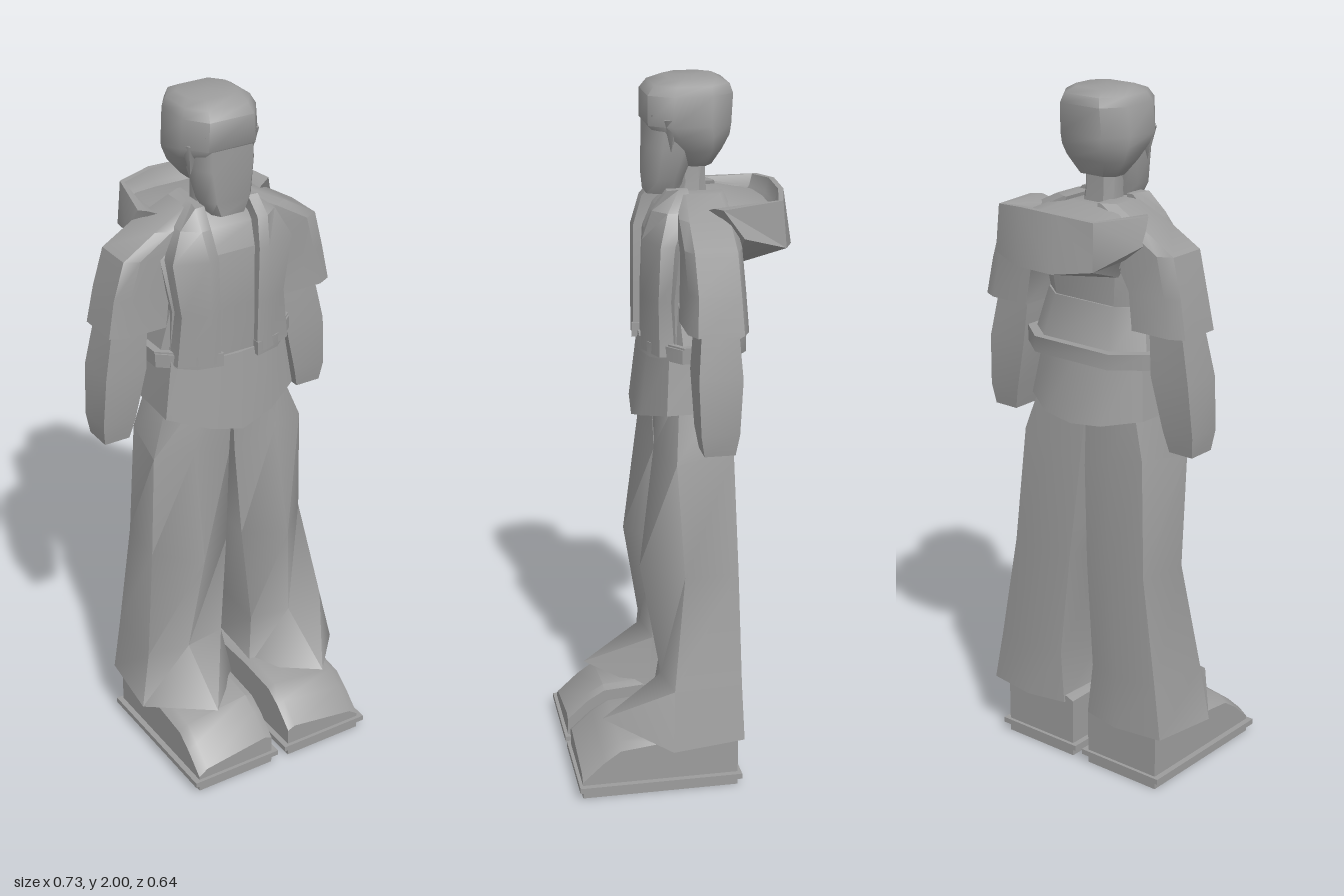
import * as THREE from 'three';
import { toCreasedNormals } from 'three/addons/utils/BufferGeometryUtils.js';

const grey = new THREE.MeshStandardMaterial({ color: 0x9c9c9c, side: THREE.DoubleSide });
grey.name = 'grey';

// Skin closed rings of [x, y, z] points, listed bottom to top, with end caps
function loft(rings, crease = 0.7) {
  const n = rings[0].length, pos = rings.flat(2), idx = [];
  for (let r = 0; r < rings.length - 1; r++)
    for (let i = 0; i < n; i++) {
      const a = r * n + i, b = r * n + (i + 1) % n;
      idx.push(a, b, b + n, a, b + n, a + n);
    }
  const cap = (ring, start, flip) => {
    const c = pos.length / 3;
    for (let k = 0; k < 3; k++) pos.push(ring.reduce((s, p) => s + p[k], 0) / n);
    for (let i = 0; i < n; i++) {
      const a = start + i, b = start + (i + 1) % n;
      idx.push(c, flip ? b : a, flip ? a : b);
    }
  };
  cap(rings[0], 0, true);
  cap(rings[rings.length - 1], (rings.length - 1) * n, false);
  const g = new THREE.BufferGeometry();
  g.setAttribute('position', new THREE.Float32BufferAttribute(pos, 3));
  g.setIndex(idx);
  return toCreasedNormals(g, crease);
}

// Eight-sided body section: height, half width, front z, back z, centre x, flat share
function oct(y, w, zf, zb, cx = 0, k = 0.6) {
  const d = (zf - zb) * 0.27;
  return [[-k * w, zf], [k * w, zf], [w, zf - d], [w, zb + d], [k * w, zb], [-k * w, zb], [-w, zb + d], [-w, zf - d]]
    .map(([x, z]) => [cx + x, y, z]);
}

// Four-sided section
const quad = (y, x0, x1, zf, zb) => [[x0, y, zf], [x1, y, zf], [x1, y, zb], [x0, y, zb]];

// Mirror rings to the left side, shifted by dx(y)
const mirror = (rings, dx) => rings.map(r => r.map(([x, y, z]) => [-x + dx(y), y, z]).reverse());

export function createModel() {
  const model = new THREE.Group();
  const add = (name, geometry) => {
    const m = new THREE.Mesh(geometry, grey);
    m.name = name;
    model.add(m);
    return m;
  };
  const pair = (name, rings, dx = () => 0, crease = 0.7) => {
    add('right ' + name, loft(rings, crease));
    add('left ' + name, loft(mirror(rings, dx), crease));
  };

  // Shoes: sections from heel to toe, lower on the outer edge, with a thin sole rim
  const shoe = (z, outer, inner) => [[-0.267, 0, z], [-0.017, 0, z], [-0.017, inner, z], [-0.04, inner + 0.01, z],
    [-0.24, outer + 0.02, z], [-0.267, outer, z]];
  pair('shoe', [shoe(-0.14, 0.17, 0.18), shoe(0.07, 0.155, 0.185), shoe(0.2, 0.14, 0.175),
    shoe(0.25, 0.105, 0.145), shoe(0.31, 0.05, 0.09)], () => 0.025);
  const rim = y => quad(y, -0.284, 0, 0.32, -0.15);
  pair('sole rim', [rim(0.025), rim(0.041)], () => 0.025);

  // Flared trouser legs: outer side, front ridge, inner side, inner back, mid back, outer back
  pair('trouser leg', [
    [[-0.31, 0.16, 0.06], [-0.16, 0.205, 0.24], [-0.005, 0.17, 0.07], [-0.02, 0.17, -0.145], [-0.14, 0.17, -0.17], [-0.29, 0.17, -0.148]],
    [[-0.282, 0.33, 0.05], [-0.155, 0.33, 0.068], [-0.032, 0.33, 0.05], [-0.04, 0.33, -0.145], [-0.14, 0.33, -0.162], [-0.268, 0.33, -0.145]],
    [[-0.24, 0.65, 0.01], [-0.13, 0.65, 0.12], [-0.014, 0.65, 0.05], [-0.02, 0.65, -0.145], [-0.11, 0.65, -0.16], [-0.225, 0.65, -0.145]],
    [[-0.24, 0.98, 0.03], [-0.13, 1, 0.075], [-0.005, 0.94, 0.05], [-0.005, 0.94, -0.135], [-0.1, 0.98, -0.145], [-0.21, 1, -0.135]],
    [[-0.18, 1.16, 0.01], [-0.1, 1.16, 0.06], [0, 1.16, 0.06], [0, 1.16, -0.12], [-0.08, 1.16, -0.13], [-0.165, 1.16, -0.12]],
  ], y => 0.055 * (1.1 - y), 1.15);

  // Shirt tail with dipping front and back points
  const hem = [[-0.1, 1.075, 0.105], [0, 1.05, 0.115], [0.1, 1.08, 0.105], [0.205, 1.11, 0.05], [0.2, 1.11, -0.12],
    [0.1, 1.09, -0.18], [0, 1.08, -0.19], [-0.1, 1.09, -0.18], [-0.2, 1.11, -0.12], [-0.21, 1.11, 0.05]];
  add('shirt tail', loft([hem, hem.map(([x, , z]) => [x * 0.88, 1.28, z * 0.78])]));

  // Torso
  add('torso', loft([
    oct(1.26, 0.18, 0.08, -0.14), oct(1.42, 0.17, 0.078, -0.125),
    oct(1.58, 0.2, 0.07, -0.14), oct(1.645, 0.15, 0.04, -0.13), oct(1.69, 0.07, -0.01, -0.11),
  ]));

  // Jacket waistband and open front panels
  add('waistband', loft([oct(1.26, 0.218, 0.075, -0.185), oct(1.305, 0.218, 0.075, -0.185)]));
  add('jacket lower back', loft([oct(1.29, 0.2, 0.065, -0.165), oct(1.42, 0.17, 0.065, -0.13)]));
  const panel = (y, xo, xi, z) => [[xo, y, z - 0.035], [xi - 0.03, y, z], [xi, y, z - 0.003], [xi, y, -0.03], [xo, y, -0.03]];
  pair('front panel', [
    panel(1.27, -0.18, -0.06, 0.1), panel(1.42, -0.165, -0.062, 0.1), panel(1.58, -0.19, -0.066, 0.098),
    panel(1.66, -0.15, -0.075, 0.072), panel(1.71, -0.09, -0.07, 0.03),
  ], () => -0.004);
  const hemBand = y => [[-0.218, y, 0.01], [-0.13, y, 0.085], [-0.055, y, 0.103], [-0.055, y, -0.03], [-0.218, y, -0.03]];
  pair('front band', [hemBand(1.26), hemBand(1.3)]);

  // Short sleeves and bare forearms
  const sleeve = (y, xo, xi, zf, zb) =>
    [[xo, y, zf - 0.02], [xo + 0.04, y, zf], [xi, y, zf], [xi, y, zb], [xo + 0.04, y, zb], [xo, y, zb + 0.02]];
  pair('sleeve', [
    sleeve(1.375, -0.35, -0.185, 0.015, -0.15), sleeve(1.48, -0.33, -0.17, 0.01, -0.145),
    sleeve(1.59, -0.3, -0.1, 0.015, -0.14), sleeve(1.65, -0.2, -0.06, 0.01, -0.14),
    sleeve(1.7, -0.1, -0.05, 0, -0.13),
  ], () => 0.008);
  pair('forearm', [
    quad(1.04, -0.362, -0.285, -0.025, -0.11), quad(1.1, -0.37, -0.27, -0.015, -0.12),
    quad(1.25, -0.36, -0.235, -0.01, -0.13), quad(1.42, -0.325, -0.22, -0.025, -0.12),
  ], () => -0.012);

  // Folded hood: each station is inner floor, inner rim, outer rim, outer lower edge, body edge
  const stations = [
    [[-0.13, 1.66, -0.06], [-0.18, 1.68, -0.08], [-0.2, 1.68, -0.1], [-0.215, 1.61, -0.14], [-0.15, 1.56, -0.12]],
    [[-0.14, 1.66, -0.25], [-0.15, 1.69, -0.26], [-0.156, 1.69, -0.275], [-0.162, 1.56, -0.284], [-0.13, 1.51, -0.14]],
    [[-0.05, 1.66, -0.275], [-0.052, 1.7, -0.285], [-0.052, 1.7, -0.3], [-0.055, 1.545, -0.325], [-0.05, 1.5, -0.13]],
    [[0.08, 1.66, -0.27], [0.078, 1.7, -0.28], [0.078, 1.7, -0.295], [0.075, 1.545, -0.32], [0.06, 1.5, -0.13]],
    [[0.15, 1.66, -0.25], [0.17, 1.69, -0.26], [0.175, 1.69, -0.272], [0.18, 1.56, -0.282], [0.14, 1.51, -0.14]],
    [[0.14, 1.66, -0.06], [0.19, 1.68, -0.08], [0.215, 1.68, -0.1], [0.255, 1.61, -0.15], [0.16, 1.56, -0.12]],
  ];
  add('hood', loft(stations.map(s => s.slice().reverse())));
  add('yoke', loft([oct(1.54, 0.15, 0, -0.2, 0, 0.75), oct(1.65, 0.17, 0.01, -0.27, 0, 0.75), oct(1.69, 0.1, -0.01, -0.13)]));

  // Neck, face and hair
  add('neck', loft([oct(1.6, 0.062, 0.01, -0.1), oct(1.72, 0.05, -0.01, -0.09, -0.008), oct(1.82, 0.05, 0, -0.09, -0.01)]));
  add('face', loft([
    oct(1.69, 0.05, 0.073, -0.02, -0.01, 0.7), oct(1.73, 0.072, 0.075, -0.025, -0.01, 0.7),
    oct(1.82, 0.088, 0.072, -0.06, -0.01, 0.7), oct(1.9, 0.09, 0.07, -0.08, -0.01, 0.7),
  ], 1));
  add('hair', loft([
    oct(1.765, 0.065, -0.025, -0.105, -0.01), oct(1.81, 0.1, 0, -0.13, -0.012),
    oct(1.85, 0.115, 0.045, -0.149, -0.013), oct(1.88, 0.118, 0.074, -0.153, -0.013),
    oct(1.96, 0.112, 0.074, -0.158, -0.013), oct(1.985, 0.1, 0.055, -0.15, -0.013),
    oct(2, 0.075, 0.015, -0.12, -0.013),
  ], 1));

  // Pointed locks beside the face
  for (const [x, z, tip] of [[-0.105, 0.015, 1.8], [-0.075, 0.045, 1.83], [0.05, 0.045, 1.82], [0.08, 0.015, 1.81]]) {
    const lock = new THREE.ConeGeometry(0.025, 0.09, 5);
    lock.rotateX(Math.PI);
    add('hair lock', lock).position.set(x, tip + 0.045, z);
  }
  return model;
}
